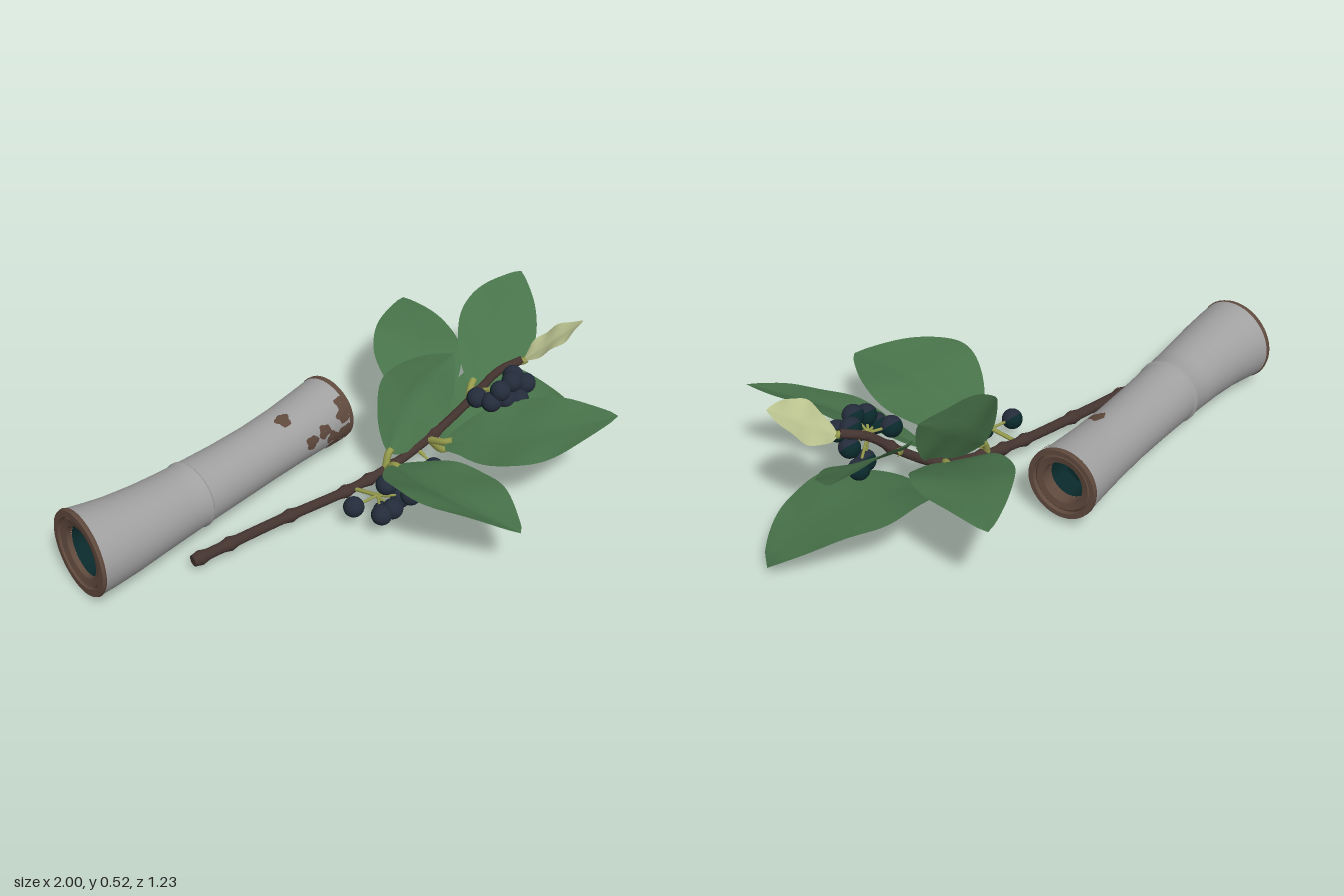
import * as THREE from 'three';
import { toCreasedNormals } from 'three/addons/utils/BufferGeometryUtils.js';

const V = (p) => new THREE.Vector3(...p);
const curveOf = (pts) => new THREE.CatmullRomCurve3(pts.map(V));
const paint = (name, color, extra = {}) => {
  const m = new THREE.MeshStandardMaterial({ color, ...extra });
  m.name = name;
  return m;
};

// Maps (x, y, z) so that y runs 0..1 along the curve and x, z lie across it
function bend(geo, curve) {
  const p = geo.attributes.position;
  for (let i = 0; i < p.count; i++) {
    const s = THREE.MathUtils.clamp(p.getY(i), 0, 1);
    const dir = curve.getTangentAt(s);
    const side = dir.clone().cross(V([0, 1, 0])).normalize();
    const up = side.clone().cross(dir);
    const q = curve.getPointAt(s).addScaledVector(side, p.getX(i)).addScaledVector(up, p.getZ(i));
    p.setXYZ(i, q.x, q.y, q.z);
  }
  return toCreasedNormals(geo, 0.6);
}

const lathe = (profile, curve, sides) =>
  bend(new THREE.LatheGeometry(profile.map(([r, s]) => new THREE.Vector2(r, s)), sides), curve);

// Leaf blade: a grid following the midrib, folded along it, arched up and bowed sideways
function leafBlade({ base, tip, half, normal, arch, cup, bow = 0, full = 0.7, flat = 1 }) {
  const a = V(base), along = V(tip).sub(a), dir = along.clone().normalize();
  const across = dir.clone().cross(V(normal)).normalize();
  const up = across.clone().cross(dir);
  const geo = new THREE.PlaneGeometry(2, 1, 10, 28);
  const p = geo.attributes.position;
  for (let i = 0; i < p.count; i++) {
    const v = p.getX(i), t = p.getY(i) + 0.5;
    const hump = Math.max(Math.sin(Math.PI * t), 0);
    const w = Math.pow(hump, full) * (1 - 0.35 * t ** 4);
    const lift = arch * Math.pow(hump, flat) + cup * w * Math.pow(Math.abs(v), 0.8)
      + 0.006 * Math.sin(t * 14 + v * 2) * Math.abs(v) * w;
    const q = a.clone().addScaledVector(along, t).addScaledVector(across, v * w * half + bow * hump).addScaledVector(up, lift);
    p.setXYZ(i, q.x, q.y, q.z);
  }
  geo.computeVertexNormals();
  return geo;
}

export function createModel() {
  const model = new THREE.Group();
  model.name = 'branchAndHollowStem';
  const mats = {
    stem: paint('stem grey', 0xa0a0a0),
    rim: paint('rim brown', 0x5f493d),
    teal: paint('dark teal', 0x0a292b),
    bark: paint('bark brown', 0x443430),
    stalk: paint('stalk yellow green', 0x969c4c),
    leaf: paint('leaf green', 0x48734a, { side: THREE.DoubleSide }),
    pale: paint('pale leaf', 0xbfc793),
    paleUnder: paint('pale leaf underside', 0xd8d8b8, { side: THREE.BackSide }),
    berry: paint('berry navy', 0x242c3b),
  };
  const add = (name, geo, mat, parent = model) => {
    const m = new THREE.Mesh(geo, mat);
    m.name = name;
    parent.add(m);
    return m;
  };
  const group = (name) => {
    const g = new THREE.Group();
    g.name = name;
    model.add(g);
    return g;
  };

  // Hollow stem with a joint ring and waisted body
  const stem = group('hollowStem');
  const axis = curveOf([[-0.988, 0.152, -0.18], [-0.86, 0.148, -0.19], [-0.53, 0.142, -0.253], [-0.2, 0.142, -0.325], [0.14, 0.153, -0.405]]);
  const body = [[0.154, 0.005], [0.147, 0.06], [0.137, 0.14], [0.127, 0.24], [0.121, 0.33], [0.118, 0.388],
    [0.122, 0.395], [0.122, 0.404], [0.117, 0.409], [0.112, 0.55], [0.11, 0.68], [0.113, 0.8], [0.119, 0.9], [0.126, 0.99]];
  add('stemBody', lathe(body, axis, 48), mats.stem, stem);
  add('rightRim', lathe([[0.125, 0.982], [0.128, 0.988], [0.126, 1], [0.109, 1], [0.106, 0.988], [0.098, 0.994],
    [0.075, 0.99], [0.073, 0.95]], axis, 48), mats.rim, stem);
  add('leftRim', lathe([[0.091, 0.025], [0.093, 0.01], [0.12, 0.004], [0.124, 0.012], [0.128, 0],
    [0.152, 0], [0.156, 0.008], [0.153, 0.014]], axis, 48), mats.rim, stem);
  add('rightHollow', lathe([[0.073, 0.95], [0.071, 0.88], [0, 0.88]], axis, 32), mats.teal, stem);
  add('leftHollow', lathe([[0, 0.09], [0.088, 0.09], [0.091, 0.025]], axis, 32), mats.teal, stem);

  // Worn brown patches wrapped on the stem: place along axis, angle, size
  const radiusAt = (s) => {
    const i = Math.max(1, body.findIndex((b) => b[1] >= s));
    const [r0, s0] = body[i - 1], [r1, s1] = body[i];
    return r0 + (r1 - r0) * (s - s0) / (s1 - s0);
  };
  [[0.765, 1.25, 0.029], [0.82, 0.1, 0.028], [0.875, 0.2, 0.028], [0.905, -0.15, 0.026], [0.92, -0.55, 0.03],
    [0.955, -0.25, 0.036], [0.96, 0.35, 0.03], [0.97, 0.7, 0.026], [0.955, -0.8, 0.028]].forEach(([s0, a0, size], k) => {
    const geo = new THREE.RingGeometry(0.001, size, 18, 3);
    const p = geo.attributes.position;
    for (let i = 0; i < p.count; i++) {
      const x = p.getX(i), y = p.getY(i), turn = Math.atan2(y, x);
      const wobble = 1 + 0.12 * Math.sin(3 * turn + k) + 0.12 * Math.sin(5 * turn + 2 * k);
      const s = Math.min(s0 + x * wobble / 1.15, 0.988), r = radiusAt(s) + 0.003;
      const a = a0 + y * wobble / r;
      p.setXYZ(i, r * Math.cos(a), s, r * Math.sin(a));
    }
    add('wornPatch', bend(geo, axis), mats.rim, stem);
  });

  // Twig with swollen nodes
  const twigPath = curveOf([[-0.645, 0.042, -0.05], [-0.3, 0.055, -0.052], [0, 0.065, -0.045], [0.17, 0.09, -0.045],
    [0.35, 0.15, -0.045], [0.5, 0.26, -0.02], [0.6, 0.35, 0.0], [0.685, 0.385, 0.03]]);
  const nodes = [0.02, 0.1, 0.27, 0.43, 0.5, 0.57, 0.71, 0.86];
  const twigProfile = [[0, 0]];
  for (let i = 0; i <= 100; i++) {
    const s = i / 100;
    const knot = nodes.reduce((n, c) => n + 0.007 * Math.exp(-(((s - c) / 0.011) ** 2)), 0);
    twigProfile.push([0.02 - 0.005 * s + knot, s]);
  }
  twigProfile.push([0, 1]);
  add('twig', lathe(twigProfile, twigPath, 12), mats.bark);

  // Leaves, each with a short stalk from its node
  const leaves = group('leaves');
  [
    { name: 'frontLeaf', node: [0.14, 0.085, -0.04], base: [0.145, 0.13, 0.0], tip: [0.2, 0.21, 0.615], half: 0.198, normal: [0.25, 1, 0], arch: 0.02, cup: 0.045, bow: 0.053 },
    { name: 'uprightLeaf', node: [0.14, 0.085, -0.045], base: [0.16, 0.14, -0.055], tip: [0.49, 0.405, -0.12], half: 0.16, normal: [0, 0.42, 1], arch: -0.02, cup: 0.02, bow: -0.03 },
    { name: 'frontRightLeaf', node: [0.33, 0.14, -0.04], base: [0.345, 0.165, 0.03], tip: [0.735, 0.375, 0.475], half: 0.15, normal: [-0.43, 0.9, 0], arch: 0.01, cup: 0.02, bow: 0.03 },
    { name: 'backLeaf', node: [0.33, 0.14, -0.045], base: [0.35, 0.17, -0.08], tip: [0.635, 0.35, -0.615], half: 0.165, normal: [0, 1, 0.1], arch: 0.05, cup: 0.025 },
    { name: 'lowRightLeaf', node: [0.34, 0.13, -0.05], base: [0.4, 0.06, -0.05], tip: [1.0, 0.025, 0.02], half: 0.235, normal: [0, 1, 0.2], arch: 0.105, cup: 0.01, bow: -0.025, full: 0.55, flat: 0.65 },
    { name: 'backRightLeaf', node: [0.49, 0.25, -0.02], base: [0.53, 0.285, -0.06], tip: [0.955, 0.505, -0.305], half: 0.15, normal: [0.1, 0.87, 0.45], arch: 0.01, cup: 0.02 },
    { name: 'paleLeaf', node: [0.68, 0.38, 0.03], base: [0.69, 0.38, 0.033], tip: [0.885, 0.52, 0.115], half: 0.096, normal: [-0.66, 0.5, -0.55], arch: 0, cup: 0.01 },
  ].forEach((l) => {
    const blade = leafBlade(l), pale = l.name === 'paleLeaf';
    add(l.name, blade, pale ? mats.pale : mats.leaf, leaves);
    if (pale) add('paleLeafUnderside', blade, mats.paleUnder, leaves);
    const into = V(l.base).lerp(V(l.tip), 0.05).toArray();
    add(l.name + 'Stalk', new THREE.TubeGeometry(curveOf([l.node, l.base, into]), 8, 0.013, 8), mats.stalk, leaves);
  });

  // Berry clusters: two-toned berries on thin stalks
  const berries = group('berries');
  const front = new THREE.SphereGeometry(0.037, 20, 8, 0, Math.PI * 2, 0, Math.PI / 2);
  const back = new THREE.SphereGeometry(0.037, 20, 8, 0, Math.PI * 2, Math.PI / 2, Math.PI / 2);
  [
    { node: [0.0, 0.065, -0.04], hub: [0.03, 0.085, 0.06], at: [[-0.07, 0.08, 0.06], [0.06, 0.125, 0.07], [0.02, 0.052, 0.11],
      [-0.02, 0.085, 0.155], [0.1, 0.07, 0.1], [0.115, 0.1, 0.14], [0.03, 0.085, 0.15]] },
    { node: [0.28, 0.115, -0.045], hub: [0.29, 0.1, -0.01], at: [[0.3, 0.07, 0.03]] },
    { node: [0.53, 0.29, -0.015], hub: [0.56, 0.32, 0.05], at: [[0.475, 0.31, 0.04], [0.5, 0.31, 0.09], [0.53, 0.35, 0.1],
      [0.58, 0.37, 0.1], [0.56, 0.305, 0.1], [0.62, 0.36, 0.06], [0.645, 0.34, 0.1], [0.58, 0.22, 0.05],
      [0.62, 0.215, 0.03], [0.6, 0.3, 0.12], [0.63, 0.29, 0.06]] },
  ].forEach(({ node, hub, at }) => {
    add('clusterStalk', new THREE.TubeGeometry(curveOf([node, hub]), 4, 0.008, 6), mats.stalk, berries);
    at.forEach((p) => {
      add('berryStalk', new THREE.TubeGeometry(curveOf([hub, p]), 2, 0.005, 6), mats.stalk, berries);
      const berry = new THREE.Group();
      berry.name = 'berry';
      add('berryFront', front, mats.berry, berry);
      add('berryBack', back, mats.teal, berry);
      berry.position.set(...p);
      berry.rotation.x = 0.85;
      berries.add(berry);
    });
  });
  return model;
}
